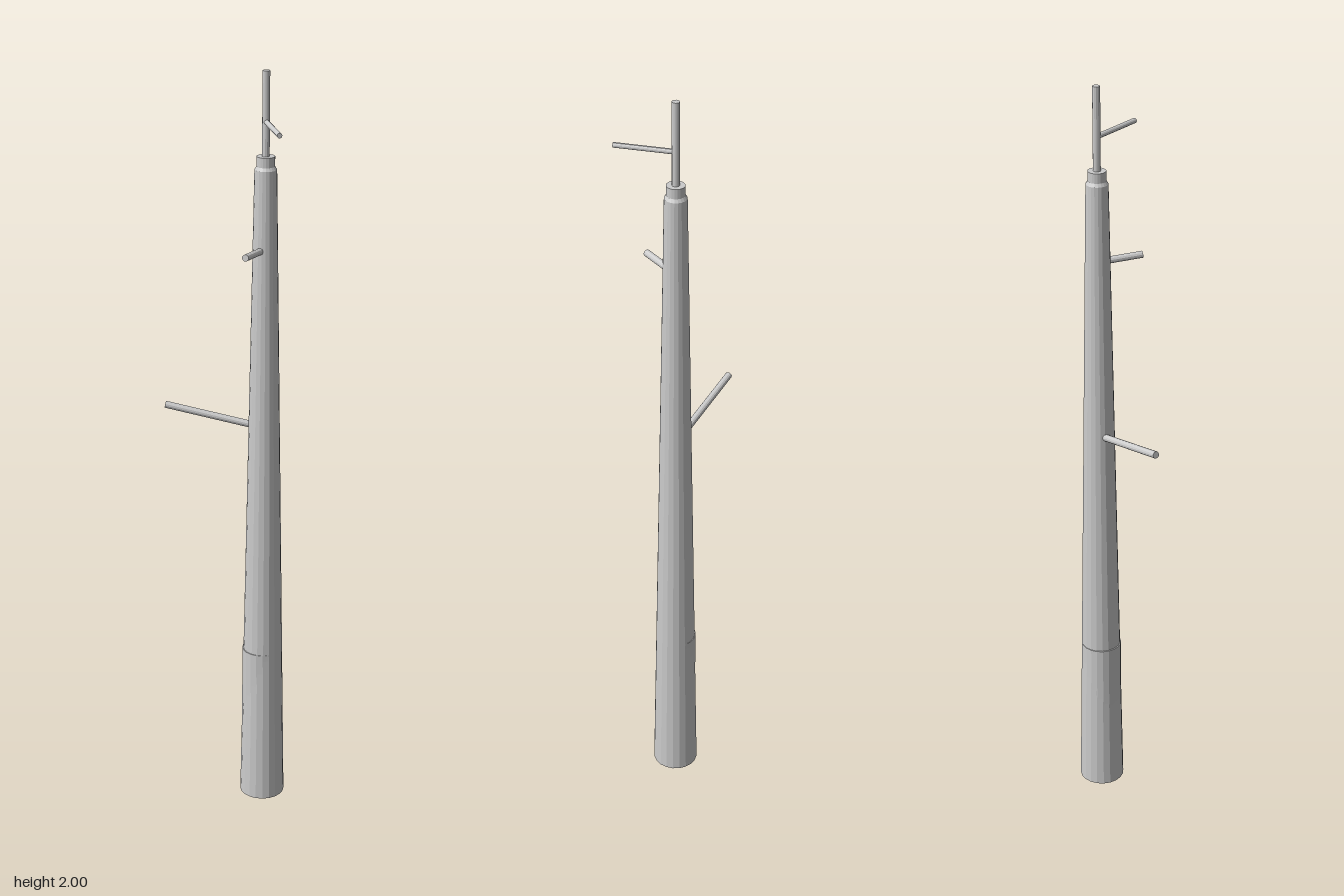
import * as THREE from 'three';

const material = new THREE.MeshStandardMaterial({ color: 0xcccccc, flatShading: true });

function add(group, name, geometry, x = 0, y = 0, z = 0) {
  const mesh = new THREE.Mesh(geometry, material);
  mesh.name = name;
  mesh.position.set(x, y, z);
  group.add(mesh);
  return mesh;
}

// Straight round bar between two points
function bar(group, name, from, to, radius, sides = 12) {
  const a = new THREE.Vector3(...from);
  const b = new THREE.Vector3(...to);
  const dir = b.clone().sub(a);
  const mesh = add(group, name, new THREE.CylinderGeometry(radius, radius, dir.length(), sides));
  mesh.position.copy(a).add(b).multiplyScalar(0.5);
  mesh.quaternion.setFromUnitVectors(new THREE.Vector3(0, 1, 0), dir.normalize());
}

export function createModel() {
  const model = new THREE.Group();
  model.name = 'pole';
  const cx = 0.087, cz = -0.017;

  // Tapered pole with a stepped shoulder and closed ends
  const profile = [[0, 0], [0.06, 0], [0.028, 1.757], [0.023, 1.765], [0.023, 1.79], [0, 1.79]]
    .map(([r, y]) => new THREE.Vector2(r, y));
  add(model, 'mast', new THREE.LatheGeometry(profile, 20), cx, 0, cz);

  // Slightly offset sleeve that shows on one side of the lower pole
  add(model, 'lowerSleeve', new THREE.CylinderGeometry(0.053, 0.053, 0.44, 20), cx - 0.002, 0.22, cz - 0.001);

  // Thin spire on top
  bar(model, 'spire', [cx, 1.77, cz], [cx, 2, cz], 0.0095);

  // Side arms
  bar(model, 'lowerArm', [0.07, 1.08, -0.031], [-0.145, 1.13, -0.127], 0.009);
  bar(model, 'middleArm', [0.075, 1.555, -0.005], [0.007, 1.562, 0.064], 0.0088);
  bar(model, 'upperArm', [cx, 1.875, cz], [0.069, 1.875, 0.131], 0.0065);

  return model;
}
